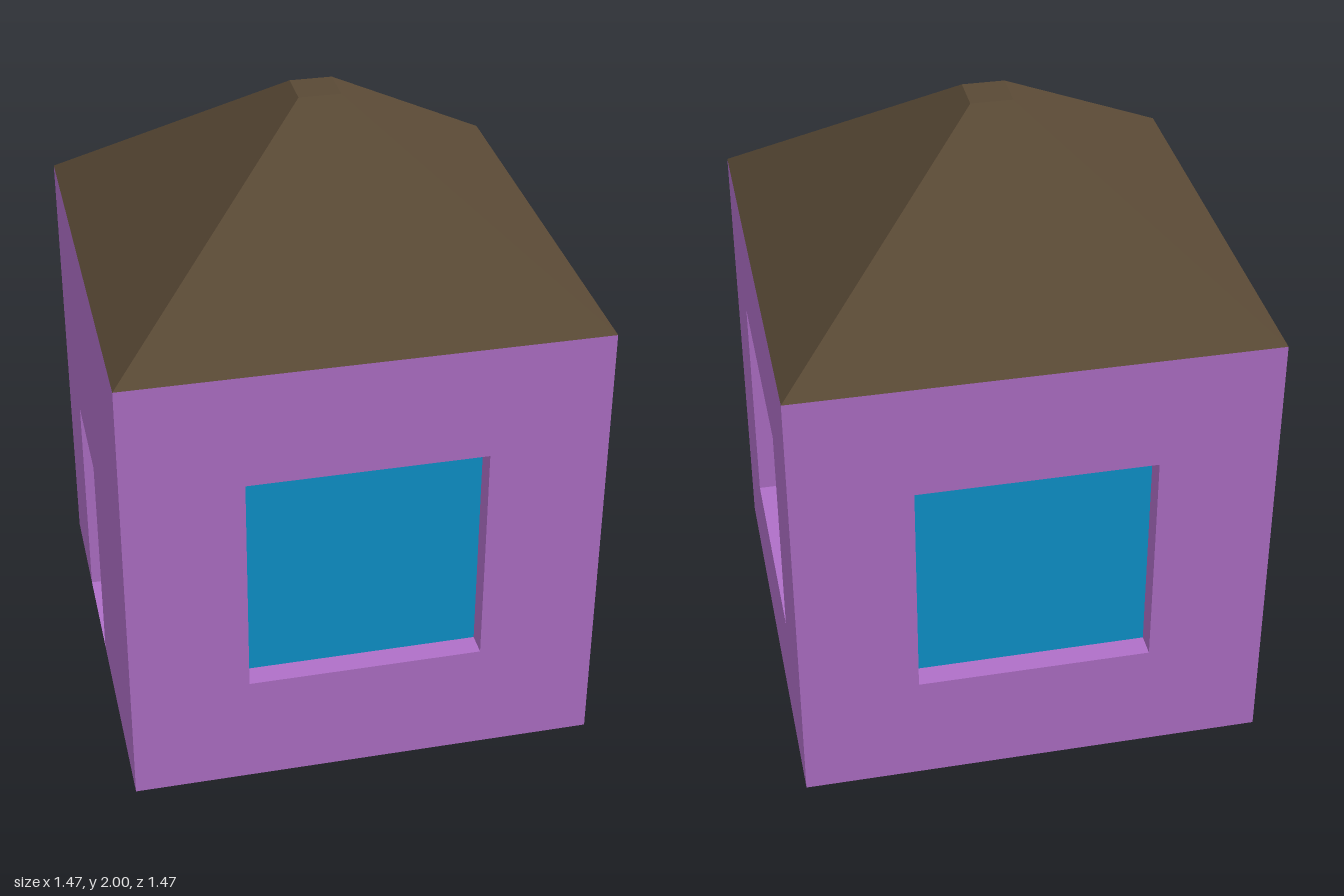
import * as THREE from 'three';

const HALF = 0.735;          // half the cube-shaped body
const HEIGHT = 2 * HALF;
const RECESS = 0.0735;       // depth of window and door reveals
const ROOF_TOP = 2;
const CAP = 0.065;           // half of the flat roof top

const paint = (color) => new THREE.MeshStandardMaterial({ color, flatShading: true });

function addMesh(parent, name, geometry, material) {
  const mesh = new THREE.Mesh(geometry, material);
  mesh.name = name;
  parent.add(mesh);
  return mesh;
}

const polygon = (points) => points.map(([x, y]) => new THREE.Vector2(x, y));

export function createModel() {
  const house = new THREE.Group();
  house.name = 'house';
  const plaster = paint(0xb070c8);
  const glass = paint(0x0e94cc);
  const brown = paint(0x594935);

  // One wall with a rectangular opening and a recessed panel behind it
  function addSide(name, angle, halfWidth, opening, panelName, panelMaterial) {
    const side = new THREE.Group();
    side.name = name;
    side.rotation.y = angle;
    const { x0, x1, y0, y1 } = opening;
    const w = halfWidth;
    const corners = [[w, 0], [w, HEIGHT], [-w, HEIGHT], [-w, 0]];
    const hole = [[x0, y0], [x0, y1], [x1, y1], [x1, y0]];
    // an opening that reaches the ground is a notch, otherwise a hole
    const atGround = y0 === 0;
    const shape = new THREE.Shape(polygon(atGround ? [...corners, ...hole] : corners));
    if (!atGround) shape.holes.push(new THREE.Path(polygon(hole)));

    const wall = new THREE.ExtrudeGeometry(shape, { depth: RECESS, bevelEnabled: false });
    addMesh(side, 'wall', wall, plaster).position.z = HALF - RECESS;
    const panel = addMesh(side, panelName, new THREE.PlaneGeometry(x1 - x0, y1 - y0), panelMaterial);
    panel.position.set((x0 + x1) / 2, (y0 + y1) / 2, HALF - RECESS);
    house.add(side);
  }

  // Walls: three windows and a door; side walls fit between front and back
  const q = HALF / 2;
  const windowHole = { x0: -q, x1: q, y0: q, y1: 3 * q };
  const doorHole = { x0: -q, x1: 0, y0: 0, y1: HALF };
  const inner = HALF - RECESS;
  addSide('frontSide', 0, HALF, windowHole, 'windowPane', glass);
  addSide('backSide', Math.PI, HALF, windowHole, 'windowPane', glass);
  addSide('leftSide', Math.PI / 2, inner, windowHole, 'windowPane', glass);
  addSide('rightSide', -Math.PI / 2, inner, doorHole, 'door', brown);

  // Floor, also seen from above as the door sill
  const floorMaterial = plaster.clone();
  floorMaterial.side = THREE.DoubleSide;
  const floor = addMesh(house, 'floor', new THREE.PlaneGeometry(HEIGHT, HEIGHT), floorMaterial);
  floor.rotation.x = Math.PI / 2;

  // Hipped roof with a small flat top
  const roofGeometry = new THREE.CylinderGeometry(
    CAP * Math.SQRT2, HALF * Math.SQRT2, ROOF_TOP - HEIGHT, 4);
  roofGeometry.rotateY(Math.PI / 4);
  addMesh(house, 'roof', roofGeometry, brown).position.y = (ROOF_TOP + HEIGHT) / 2;

  return house;
}
